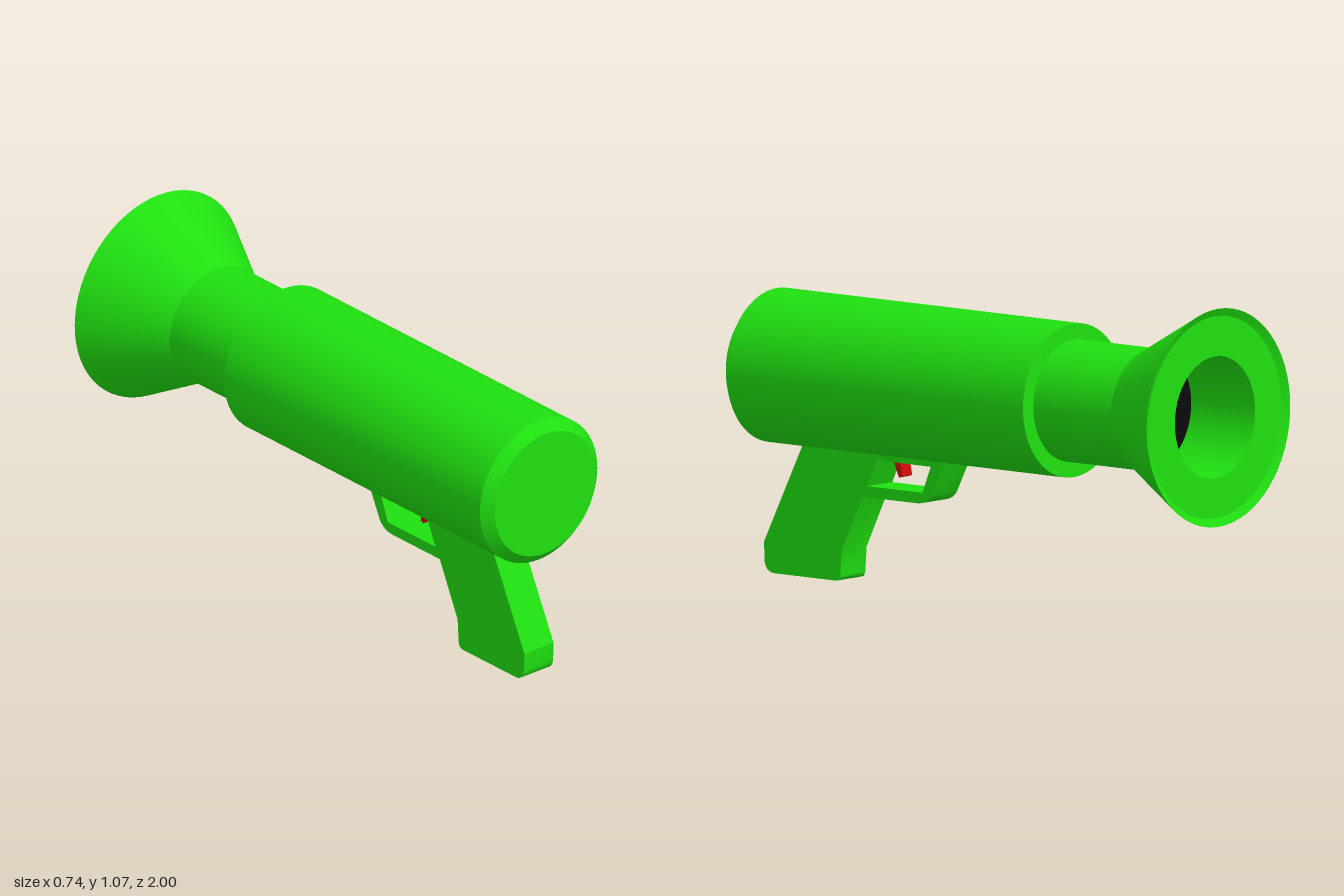
import * as THREE from 'three';
import { toCreasedNormals } from 'three/addons/utils/BufferGeometryUtils.js';

const green = new THREE.MeshStandardMaterial({ color: 0x1fe010 });
const red = new THREE.MeshStandardMaterial({ color: 0xd00a0a });
const black = new THREE.MeshStandardMaterial({ color: 0x0a0a0a });
const AXIS_Y = 0.7;

function add(group, name, geometry, material) {
  const mesh = new THREE.Mesh(toCreasedNormals(geometry, 0.4), material);
  mesh.name = name;
  group.add(mesh);
  return mesh;
}

// Turned part along z from [radius, z] points, listed from back to front
function turned(group, name, points, material = green) {
  const geometry = new THREE.LatheGeometry(points.map(([r, z]) => new THREE.Vector2(r, z)), 64);
  geometry.rotateX(Math.PI / 2);
  add(group, name, geometry, material).position.y = AXIS_Y;
}

// Side profile in (z, y), given thickness across x and centred
function slab(group, name, shape, width, material) {
  const geometry = new THREE.ExtrudeGeometry(shape, { depth: width, bevelEnabled: false, curveSegments: 6 });
  geometry.translate(0, 0, -width / 2);
  geometry.rotateY(-Math.PI / 2);
  add(group, name, geometry, material);
}

export function createModel() {
  const model = new THREE.Group();
  model.name = 'launcher';

  // Barrel with chamfered front cap
  turned(model, 'body', [[0, -0.355], [0.262, -0.355], [0.262, 0.965], [0.225, 1], [0, 1]]);
  turned(model, 'neck', [[0.208, -0.7], [0.208, -0.355]]);

  // Flared bell: bore, flat ring, bevelled lip, outer cone
  turned(model, 'bell', [[0.208, -0.7], [0.208, -0.985], [0.345, -0.985], [0.372, -1], [0.208, -0.7]]);
  turned(model, 'boreEnd', [[0, -0.7], [0.208, -0.7]], black);

  // Grip and trigger guard in one outline, with the finger opening cut out
  const grip = new THREE.Shape();
  grip.moveTo(0.785, 0.47);
  grip.lineTo(0.967, 0.105);
  grip.lineTo(0.965, 0.04);
  grip.quadraticCurveTo(0.96, 0, 0.92, 0);
  grip.lineTo(0.65, 0);
  grip.quadraticCurveTo(0.627, 0, 0.627, 0.03);
  grip.lineTo(0.622, 0.105);
  grip.lineTo(0.53, 0.297);
  grip.lineTo(0.29, 0.297);
  grip.quadraticCurveTo(0.24, 0.297, 0.22, 0.33);
  grip.lineTo(0.15, 0.47);
  grip.closePath();
  const opening = new THREE.Path();
  opening.moveTo(0.465, 0.427);
  opening.lineTo(0.225, 0.427);
  opening.lineTo(0.262, 0.335);
  opening.lineTo(0.508, 0.335);
  opening.closePath();
  grip.holes.push(opening);
  slab(model, 'grip', grip, 0.13, green);

  // Trigger
  const trigger = new THREE.Shape();
  trigger.moveTo(0.428, 0.44);
  trigger.quadraticCurveTo(0.415, 0.395, 0.4, 0.37);
  trigger.lineTo(0.385, 0.375);
  trigger.quadraticCurveTo(0.39, 0.41, 0.402, 0.44);
  trigger.closePath();
  slab(model, 'trigger', trigger, 0.05, red);

  return model;
}
